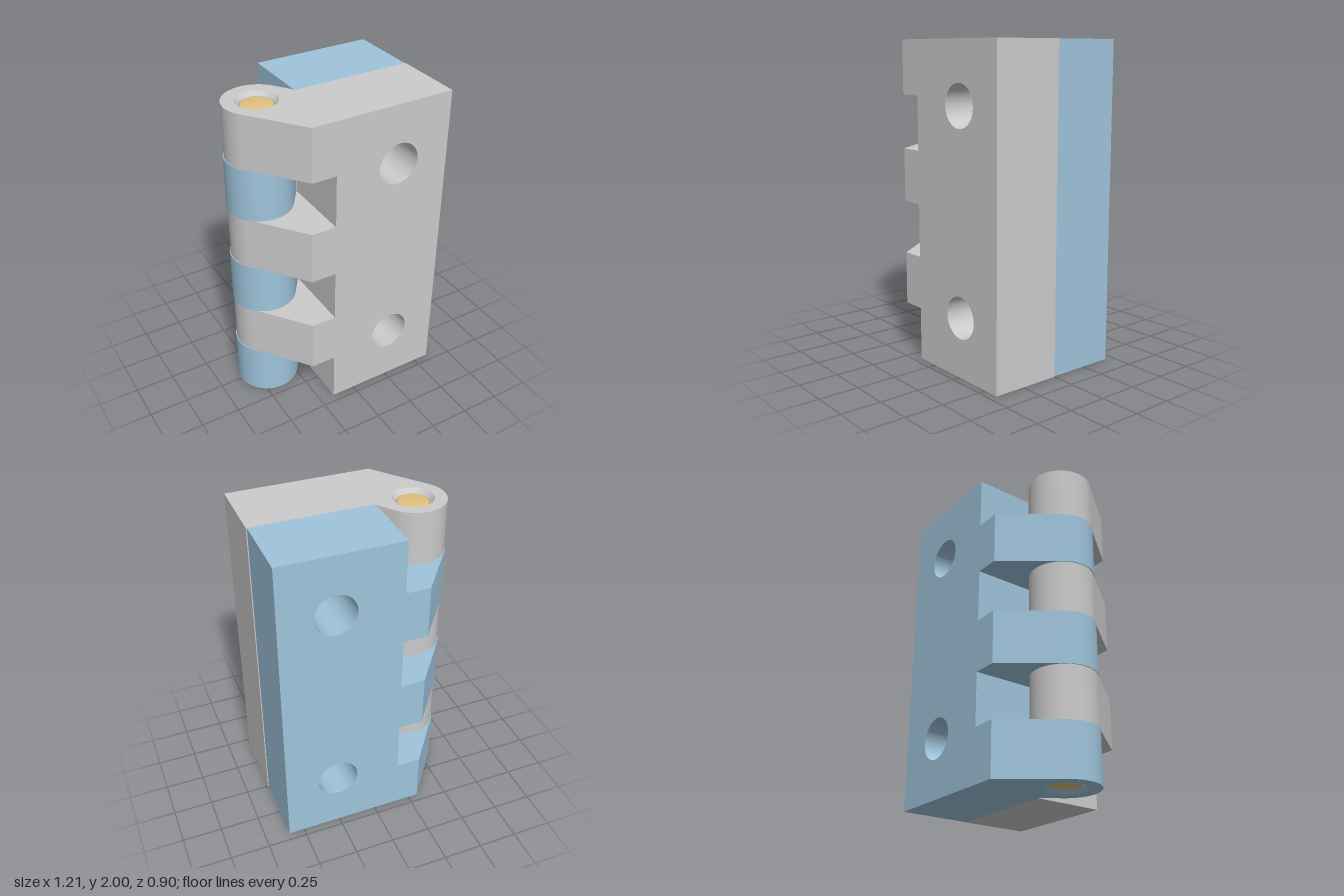
import * as THREE from 'three';
import { toCreasedNormals } from 'three/addons/utils/BufferGeometryUtils.js';

const H = 2, T = 0.45;               // height, leaf thickness
const PIN_X = -0.4, R = 0.2;         // hinge axis and knuckle radius
const ROOT = -0.155, CORNER = -0.31; // knuckle root and outer corner in x
const PIN_R = 0.1, SINK_R = 0.125, SINK = 0.028;
const K = H / 6;                     // knuckle height

const extrude = (shape, depth) => toCreasedNormals(
  new THREE.ExtrudeGeometry(shape, { depth, bevelEnabled: false, curveSegments: 48 }), 0.4);

// Solid block of a leaf with its two bolt holes
function blockGeometry() {
  const s = new THREE.Shape([[ROOT, 0], [0.6, 0], [0.6, H], [ROOT, H]].map(p => new THREE.Vector2(...p)));
  for (const y of [0.375, 1.625]) {
    s.holes.push(new THREE.Path().absarc(0.26, y, 0.13, 0, Math.PI * 2, true));
  }
  return extrude(s, T);
}

// Knuckle: flanks tangent to the barrel, with a bore for the pin
function knuckleGeometry(bore) {
  const upper = Math.atan2(T, CORNER - PIN_X) + Math.acos(R / Math.hypot(T, CORNER - PIN_X));
  const lower = 2 * Math.PI - Math.acos(R / (ROOT - PIN_X));
  const s = new THREE.Shape();
  s.moveTo(ROOT, T);
  s.lineTo(CORNER, T);
  s.absarc(PIN_X, 0, R, upper, lower, false);
  s.lineTo(ROOT, 0);
  s.closePath();
  s.holes.push(new THREE.Path().absarc(PIN_X, 0, bore, 0, Math.PI * 2, true));
  return extrude(s, K).rotateX(Math.PI / 2);
}

// One leaf: block, three knuckles and a countersink at the top
function makeLeaf(name, color) {
  const material = new THREE.MeshStandardMaterial({ color });
  const leaf = new THREE.Group();
  leaf.name = name;
  const add = (part, geometry, mat = material) => {
    const mesh = new THREE.Mesh(geometry, mat);
    mesh.name = part;
    leaf.add(mesh);
    return mesh;
  };
  add('leafBlock', blockGeometry());
  for (let i = 1; i <= 3; i++) {
    add('knuckle' + i, knuckleGeometry(i === 3 ? SINK_R : PIN_R)).position.y = 2 * i * K;
  }
  const cone = [new THREE.Vector2(PIN_R, H - SINK), new THREE.Vector2(SINK_R, H)];
  const sinkMaterial = new THREE.MeshStandardMaterial({ color, side: THREE.DoubleSide });
  add('countersink', new THREE.LatheGeometry(cone, 64), sinkMaterial).position.x = PIN_X;
  return leaf;
}

// Hinge pin with softly domed ends
function makePin() {
  const end = [];
  for (let i = 0; i <= 8; i++) {
    const a = (i / 8) * Math.PI / 2;
    end.push([0.075 + 0.025 * Math.cos(a), H - 0.038 + 0.02 * Math.sin(a)]);
  }
  end.push([0.04, H - 0.014], [0, H - 0.012]);
  const points = [
    ...end.map(([r, y]) => new THREE.Vector2(r, H - y)).reverse(),
    ...end.map(([r, y]) => new THREE.Vector2(r, y)),
  ];
  const pin = new THREE.Mesh(new THREE.LatheGeometry(points, 64),
    new THREE.MeshStandardMaterial({ color: 0xe0c080 }));
  pin.name = 'hingePin';
  pin.position.x = PIN_X;
  return pin;
}

export function createModel() {
  const model = new THREE.Group();
  model.name = 'hinge';
  const front = makeLeaf('frontLeaf', 0xcccccc);
  // The back leaf is the same part turned over, with a little play
  const back = makeLeaf('backLeaf', 0x9fc4dc);
  back.rotation.x = Math.PI;
  back.position.set(-0.006, H, 0);
  model.add(front, back, makePin());
  for (const part of model.children) part.position.x += 0.003;
  return model;
}
